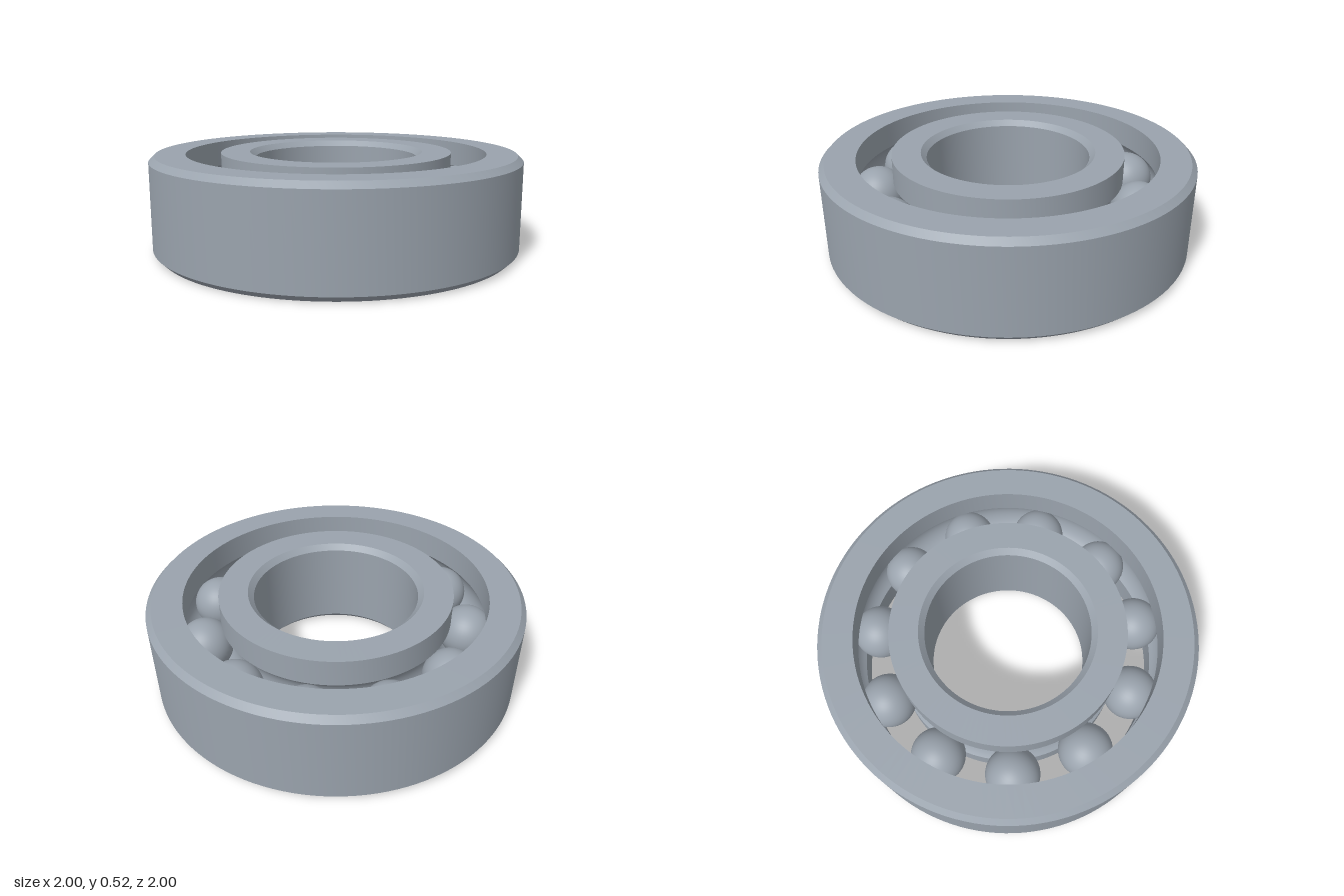
import * as THREE from 'three';
import { toCreasedNormals } from 'three/addons/utils/BufferGeometryUtils.js';

const HEIGHT = 0.52, MID = HEIGHT / 2, CHAMFER = 0.03;
const PITCH = 0.7175, BALL = 0.145, GROOVE = 0.148;
const BALL_COUNT = 11, FIRST_BALL = THREE.MathUtils.degToRad(3.6);

// Points of the ball groove where it cuts a wall at radius r, running upward
function groovePoints(r) {
  const offset = r - PITCH;
  const half = Math.acos(Math.abs(offset) / GROOVE);
  const points = [];
  for (let i = 0; i <= 14; i++) {
    const a = half * (i / 7 - 1);
    points.push([PITCH + Math.sign(offset) * GROOVE * Math.cos(a), MID + GROOVE * Math.sin(a)]);
  }
  return points;
}

// Closed counterclockwise (radius, height) section spun around the axis
function ring(name, section, material) {
  const points = [...section, section[0]].map(([r, y]) => new THREE.Vector2(r, y));
  const geometry = toCreasedNormals(new THREE.LatheGeometry(points, 128), 0.5);
  const mesh = new THREE.Mesh(geometry, material);
  mesh.name = name;
  return mesh;
}

export function createModel() {
  const model = new THREE.Group();
  model.name = 'ballBearing';
  const steel = new THREE.MeshStandardMaterial({ color: 0x9aa3ad });
  steel.name = 'steel grey';

  // Outer race: chamfered outside, grooved inside
  const outerWall = 0.81;
  model.add(ring('outerRace', [
    [outerWall, 0], [1 - CHAMFER, 0], [1, CHAMFER],
    [1, HEIGHT - CHAMFER], [1 - CHAMFER, HEIGHT], [outerWall, HEIGHT],
    ...groovePoints(outerWall).reverse(),
  ], steel));

  // Inner race: grooved outside, chamfered bore
  const innerWall = 0.625, bore = 0.44;
  model.add(ring('innerRace', [
    [bore + CHAMFER, 0], [innerWall, 0],
    ...groovePoints(innerWall),
    [innerWall, HEIGHT], [bore + CHAMFER, HEIGHT],
    [bore, HEIGHT - CHAMFER], [bore, CHAMFER],
  ], steel));

  // Balls spaced evenly around the groove
  const balls = new THREE.Group();
  balls.name = 'balls';
  const ballGeometry = new THREE.SphereGeometry(BALL, 40, 24);
  for (let i = 0; i < BALL_COUNT; i++) {
    const a = FIRST_BALL + (i * 2 * Math.PI) / BALL_COUNT;
    const ball = new THREE.Mesh(ballGeometry, steel);
    ball.name = `ball${i + 1}`;
    ball.position.set(PITCH * Math.sin(a), MID, -PITCH * Math.cos(a));
    balls.add(ball);
  }
  model.add(balls);
  return model;
}
